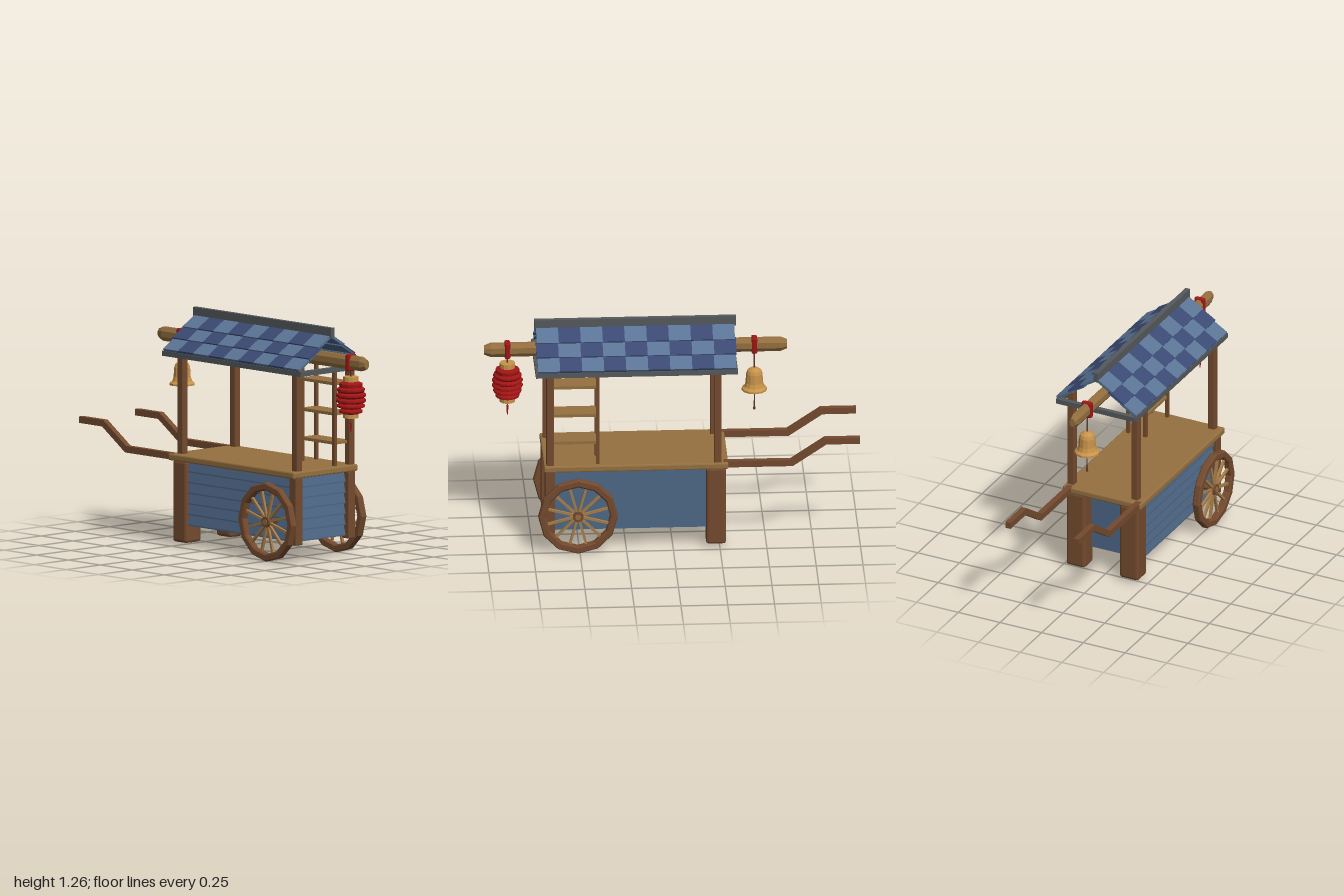
import * as THREE from 'three';
import { RoundedBoxGeometry } from 'three/addons/geometries/RoundedBoxGeometry.js';

const paint = (color) => new THREE.MeshStandardMaterial({ color, flatShading: true, side: THREE.DoubleSide });
const M = {
  darkWood: paint(0x744a2e), wood: paint(0x957040), paleWood: paint(0xa67c48),
  blue: paint(0x4d6685), tileLight: paint(0x5b7596), tileDark: paint(0x3b4a74),
  grey: paint(0x54595c), red: paint(0xa01414), gold: paint(0xc8934a), cord: paint(0x5a3a30),
};
const ZC = -0.012; // centre line of the roof, beam and hangings

export function createModel() {
  const model = new THREE.Group();
  model.name = 'marketCart';

  const add = (name, geometry, mat, x = 0, y = 0, z = 0, parent = model) => {
    const mesh = new THREE.Mesh(geometry, mat);
    mesh.name = name;
    mesh.position.set(x, y, z);
    parent.add(mesh);
    return mesh;
  };
  // Box given by its min and max on each axis, optionally with chamfered edges
  const block = (name, mat, [x0, x1], [y0, y1], [z0, z1], chamfer = 0, parent = model) => {
    const size = [x1 - x0, y1 - y0, z1 - z0];
    const geo = chamfer ? new RoundedBoxGeometry(...size, 1, chamfer) : new THREE.BoxGeometry(...size);
    return add(name, geo, mat, (x0 + x1) / 2, (y0 + y1) / 2, (z0 + z1) / 2, parent);
  };
  const lathe = (pts, sides) => new THREE.LatheGeometry(pts.map((p) => new THREE.Vector2(...p)), sides);

  // Cabinet with lapped boards on the front and the wheel end
  block('cabinet', M.blue, [-0.2, 0.645], [0.115, 0.465], [-0.2, 0.18]);
  const rows = 6, boardH = 0.345 / rows;
  const profile = new THREE.Shape([[0, 0], [0.016, 0], [0.016, 0.008], [0.003, boardH], [0, boardH]]
    .map((p) => new THREE.Vector2(...p)));
  const board = (length) => new THREE.ExtrudeGeometry(profile, { depth: length, bevelEnabled: false });
  for (let i = 0; i < rows; i++) {
    const y = 0.115 + i * boardH;
    add('endBoard', board(0.34), M.blue, 0.645, y, -0.173);
    add('frontBoard', board(0.825), M.blue, 0.64, y, 0.18).rotation.y = -Math.PI / 2;
  }

  // Tabletop, legs and posts
  block('tabletop', M.wood, [-0.295, 0.69], [0.46, 0.497], [-0.237, 0.233], 0.008);
  for (const [z0, z1] of [[0.097, 0.21], [-0.223, -0.11]]) {
    block('leg', M.darkWood, [-0.284, -0.177], [0.02, 0.462], [z0, z1], 0.014);
  }
  for (const [z0, z1] of [[0.162, 0.213], [-0.223, -0.172]]) {
    block('cornerPost', M.darkWood, [0.632, 0.685], [0.1, 0.462], [z0, z1], 0.005);
  }
  for (const z of [0.177, -0.207]) {
    for (const x of [-0.239, 0.657]) {
      block('roofPost', M.darkWood, [x - 0.02, x + 0.02], [0.49, 1.06], [z - 0.02, z + 0.02], 0.005);
    }
  }

  // Shelf rack in the back corner
  for (const [x, z] of [[0.403, -0.097], [0.403, -0.2], [0.655, -0.097]]) {
    block('rackPost', M.darkWood, [x - 0.009, x + 0.009], [0.49, 1.06], [z - 0.009, z + 0.009]);
  }
  for (const y of [0.62, 0.777, 0.94]) {
    block('shelf', M.wood, [0.4, 0.658], [y - 0.008, y + 0.008], [-0.205, -0.092]);
  }

  // Bent pull handles
  const path = [[-1, 0.602], [-0.815, 0.602], [-0.635, 0.481], [-0.27, 0.481]];
  const t = 0.0175;
  const outline = [...path.map(([x, y], i) => [x + (i === 1 || i === 2 ? 0.005 : 0), y + t]),
    ...path.map(([x, y], i) => [x - (i === 1 || i === 2 ? 0.005 : 0), y - t]).reverse()];
  for (const z of [0.207, -0.202]) {
    const shape = new THREE.Shape(outline.map((p) => new THREE.Vector2(...p)));
    const geo = new THREE.ExtrudeGeometry(shape, { depth: 0.032, bevelEnabled: false });
    add('handle', geo, M.darkWood, 0, 0, z - 0.016);
  }

  // Twelve-sided spoked wheels
  for (const z of [0.257, -0.253]) {
    const wheel = new THREE.Group();
    wheel.name = 'wheel';
    wheel.position.set(0.51, 0.215, z);
    model.add(wheel);
    const rim = lathe([[0.172, -0.014], [0.18, -0.02], [0.207, -0.02], [0.213, -0.013],
      [0.213, 0.013], [0.207, 0.02], [0.18, 0.02], [0.172, 0.014], [0.172, -0.014]], 12);
    add('rim', rim, M.darkWood, 0, 0, 0, wheel).rotation.x = Math.PI / 2;
    add('hub', new THREE.CylinderGeometry(0.03, 0.03, 0.036, 10), M.darkWood, 0, 0, 0, wheel).rotation.x = Math.PI / 2;
    add('hubCap', new THREE.CylinderGeometry(0.016, 0.016, 0.042, 8), M.wood, 0, 0, 0, wheel).rotation.x = Math.PI / 2;
    for (let i = 0; i < 12; i++) {
      const a = ((i + 0.5) / 12) * Math.PI * 2;
      const spoke = add('spoke', new THREE.BoxGeometry(0.155, 0.013, 0.014), M.paleWood,
        Math.cos(a) * 0.1, Math.sin(a) * 0.1, 0, wheel);
      spoke.rotation.z = a;
    }
  }
  add('axle', new THREE.CylinderGeometry(0.014, 0.014, 0.5, 8), M.darkWood, 0.51, 0.215, 0).rotation.x = Math.PI / 2;

  // Grey frame under the eaves, and ridge cap
  for (const z of [0.214, -0.238]) block('eaveBar', M.grey, [-0.345, 0.735], [1.017, 1.044], [z - 0.013, z + 0.013]);
  for (const x of [-0.332, 0.722]) block('endBar', M.grey, [x - 0.013, x + 0.013], [1.017, 1.044], [-0.25, 0.226]);
  block('ridgeCap', M.grey, [-0.347, 0.732], [1.205, 1.258], [ZC - 0.013, ZC + 0.013]);

  // Three overlapping rows of checkered tiles on each slope
  const cols = 9, tileW = 1.06 / cols;
  for (const side of [1, -1]) {
    const slope = new THREE.Group();
    slope.name = side > 0 ? 'frontRoof' : 'backRoof';
    slope.position.z = ZC;
    slope.rotation.y = side > 0 ? 0 : Math.PI;
    model.add(slope);
    for (let r = 0; r < 3; r++) {
      const row = new THREE.Group();
      row.name = 'tileRow';
      row.position.set(0, 1.183 - r * 0.053, 0.047 + r * 0.072);
      row.rotation.x = 0.55;
      slope.add(row);
      const widen = r === 1 ? 0.01 : 0;
      add('rowBacking', new THREE.BoxGeometry(1.06 + widen, 0.007, 0.106), M.blue, 0.193 * side, -0.0035, 0, row);
      for (let c = 0; c < cols; c++) {
        const x = (0.193 + (c - (cols - 1) / 2) * (tileW + widen / cols)) * side;
        add('tile', new THREE.BoxGeometry(tileW + widen / cols, 0.009, 0.108),
          (r + c) % 2 ? M.tileDark : M.tileLight, x, 0.0045, 0, row);
      }
    }
  }

  // Eight-sided beam with tapered ends
  const beamShape = lathe([[0, -0.81], [0.026, -0.81], [0.041, -0.775], [0.041, 0.775], [0.026, 0.81], [0, 0.81]], 8);
  beamShape.rotateY(Math.PI / 8).rotateZ(Math.PI / 2).scale(1, 1, 0.65);
  add('beam', beamShape, M.wood, 0.19, 1.088, ZC);

  // Straps and cords for the hangings
  for (const x of [-0.445, 0.875]) {
    block('strap', M.red, [x - 0.015, x + 0.015], [1.042, 1.133], [ZC - 0.03, ZC + 0.03], 0.008);
    add('cord', new THREE.CylinderGeometry(0.004, 0.004, 0.12, 6), M.cord, x, 0.99, ZC);
  }

  // Bell with clapper and pull
  add('bell', lathe([[0, 0.955], [0.018, 0.953], [0.038, 0.938], [0.044, 0.92], [0.047, 0.87], [0.054, 0.848],
    [0.068, 0.836], [0.068, 0.826], [0.05, 0.826], [0.038, 0.87], [0.03, 0.92], [0, 0.935]], 12), M.gold, -0.445, 0, ZC);
  add('clapper', new THREE.SphereGeometry(0.018, 8, 6), M.gold, -0.445, 0.822, ZC);
  add('bellCord', new THREE.CylinderGeometry(0.003, 0.003, 0.1, 6), M.cord, -0.445, 0.78, ZC);
  add('bellPull', new THREE.CylinderGeometry(0.003, 0.007, 0.05, 6), M.cord, -0.445, 0.737, ZC);

  // Ribbed paper lantern with caps and tassel
  const ribs = 6, pts = [[0.04, 0.81]];
  for (let i = 0; i < ribs; i++) {
    const y = 0.81 + ((i + 0.5) * 0.175) / ribs;
    const bulge = 0.083 - 0.019 * ((i - 2.5) / 2.5) ** 2;
    pts.push([bulge, y - 0.005], [bulge, y + 0.005]);
    if (i < ribs - 1) pts.push([bulge - 0.014, y + 0.0875 / ribs]);
  }
  pts.push([0.04, 0.985]);
  add('lantern', lathe(pts, 12), M.red, 0.875, 0, ZC);
  for (const y of [0.802, 0.999]) add('lanternCap', new THREE.CylinderGeometry(0.042, 0.042, 0.026, 12), M.gold, 0.875, y, ZC);
  add('tasselCord', new THREE.CylinderGeometry(0.003, 0.003, 0.04, 6), M.cord, 0.875, 0.775, ZC);
  add('tassel', new THREE.CylinderGeometry(0.007, 0.003, 0.05, 6), M.red, 0.875, 0.737, ZC);

  return model;
}
